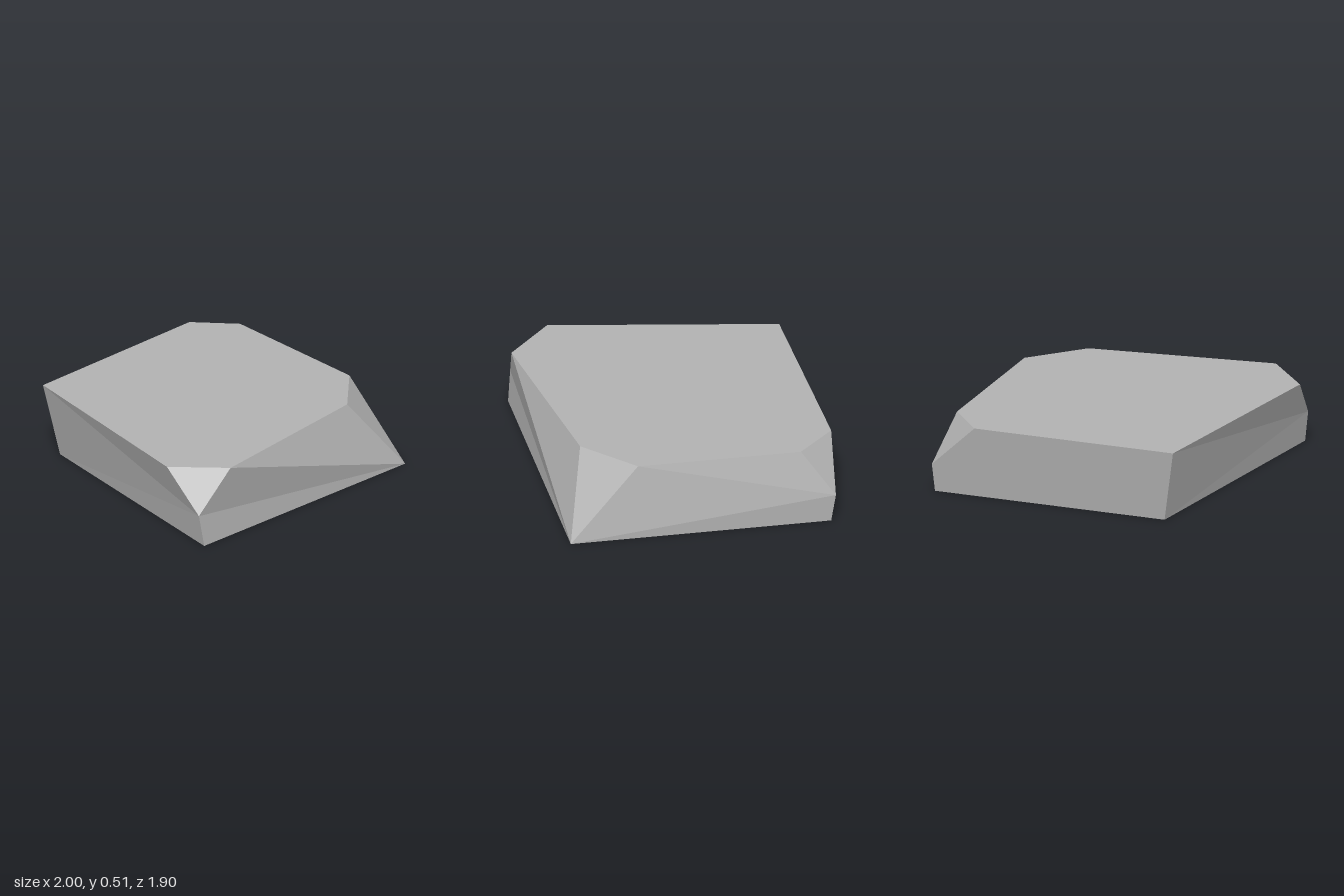
import * as THREE from 'three';

// Corner points of the slab
const P = {
  // top outline
  topBackLeft: [-0.72, 0.51, -0.87],
  topLeftCut: [-1, 0.51, 0.65],
  topFrontCut: [-0.70, 0.51, 0.95],
  topFrontEdge: [0.56, 0.51, 0.73],
  topRightFront: [0.885, 0.51, 0.40],
  topRightBack: [0.91, 0.51, -0.70],
  topBackEdge: [0.68, 0.51, -0.95],
  // lower tips of the broken corners
  tipFront: [-0.95, 0.22, 0.91],
  tipBack: [1, 0.2, -0.92],
  // open base
  baseFrontRight: [0.955, 0, 0.87],
  baseBackRight: [0.99, 0, -0.89],
  baseBackLeft: [-0.63, 0, -0.80],
  baseFrontLeft: [-0.92, 0, 0.93],
};

// Flat-shaded panel from polygons, each fanned from its first corner
function panel(name, material, ...polygons) {
  const positions = [];
  for (const poly of polygons) {
    for (let i = 1; i < poly.length - 1; i++) {
      positions.push(...poly[0], ...poly[i], ...poly[i + 1]);
    }
  }
  const geometry = new THREE.BufferGeometry();
  geometry.setAttribute('position', new THREE.Float32BufferAttribute(positions, 3));
  geometry.computeVertexNormals();
  const mesh = new THREE.Mesh(geometry, material);
  mesh.name = name;
  return mesh;
}

export function createModel() {
  const group = new THREE.Group();
  group.name = 'rockSlab';
  const stone = new THREE.MeshStandardMaterial({ color: 0xb2b2b2, side: THREE.DoubleSide });
  stone.name = 'grey stone';

  group.add(
    panel('topFace', stone, [P.topBackLeft, P.topLeftCut, P.topFrontCut, P.topFrontEdge,
      P.topRightFront, P.topRightBack, P.topBackEdge]),
    // side walls, the underside stays open
    panel('frontWall', stone,
      [P.topFrontCut, P.tipFront, P.baseFrontRight, P.topFrontEdge],
      [P.tipFront, P.baseFrontLeft, P.baseFrontRight]),
    panel('plusXWall', stone,
      [P.topRightFront, P.baseFrontRight, P.tipBack, P.topRightBack],
      [P.baseFrontRight, P.baseBackRight, P.tipBack]),
    panel('backWall', stone,
      [P.tipBack, P.topBackLeft, P.topBackEdge],
      [P.tipBack, P.baseBackRight, P.baseBackLeft, P.topBackLeft]),
    panel('minusXWall', stone,
      [P.topBackLeft, P.baseBackLeft, P.tipFront, P.topLeftCut],
      [P.baseBackLeft, P.baseFrontLeft, P.tipFront]),
    // broken corners
    panel('frontMinusXChip', stone, [P.topLeftCut, P.tipFront, P.topFrontCut]),
    panel('frontPlusXChip', stone, [P.topFrontEdge, P.baseFrontRight, P.topRightFront]),
    panel('backPlusXChip', stone, [P.topRightBack, P.tipBack, P.topBackEdge]),
  );
  return group;
}
